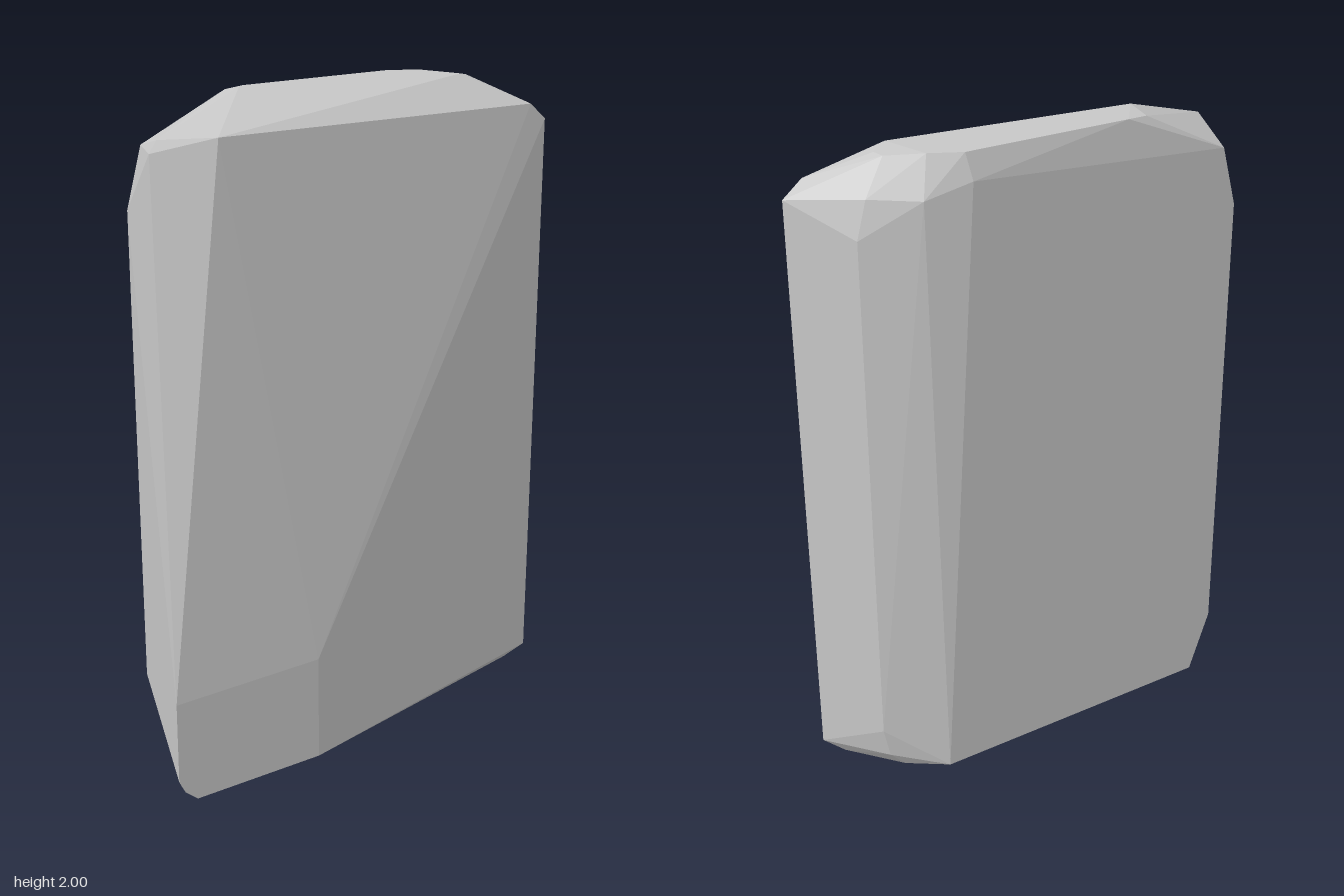
import * as THREE from 'three';
import { ConvexGeometry } from 'three/addons/geometries/ConvexGeometry.js';

export function createModel() {
  const group = new THREE.Group();
  group.name = 'stoneSlab';
  const stone = new THREE.MeshStandardMaterial({ color: 0xc7c7c7, flatShading: true });
  stone.name = 'paleGreyStone';

  // Chiselled corners of the slab
  const corners = [
    // thick front foot
    [-0.72, 0.33, 0.225], [-0.23, 0.33, 0.225], [-0.72, 0.08, 0.225],
    [-0.7, 0.04, 0.225], [-0.66, 0.005, 0.225], [-0.23, 0, 0.225],
    // sharp right edge
    [0.72, 0.05, 0.09], [0.66, 0.005, 0.06], [0.72, 1.85, 0.09], [0.66, 1.9, 0.09],
    // front top edge and left shoulder
    [-0.46, 1.9, 0.097], [-0.6, 1.895, 0.01], [-0.625, 1.86, 0.01],
    // top plateau
    [-0.27, 2, -0.1], [0.46, 1.995, -0.01], [0.515, 1.985, -0.05],
    [0.51, 1.985, -0.09], [0.42, 1.995, -0.16], [0.33, 1.995, -0.205], [-0.2, 1.99, -0.19],
    // back face
    [-0.27, 1.985, -0.177], [-0.54, 1.85, -0.193], [-0.59, 1.67, -0.193],
    [-0.59, 0.21, -0.193], [-0.52, 0.015, -0.193], [0.42, 0.015, -0.193], [0.32, 1.92, -0.228],
    // rounded right back
    [0.45, 1.88, -0.195], [0.6, 1.77, -0.1], [0.57, 1.88, -0.1],
    [0.6, 0.16, -0.1], [0.58, 0.06, -0.1], [0.53, 0.005, -0.1],
  ].map((p) => new THREE.Vector3(...p));

  const slab = new THREE.Mesh(new ConvexGeometry(corners), stone);
  slab.name = 'slab';
  group.add(slab);
  return group;
}
